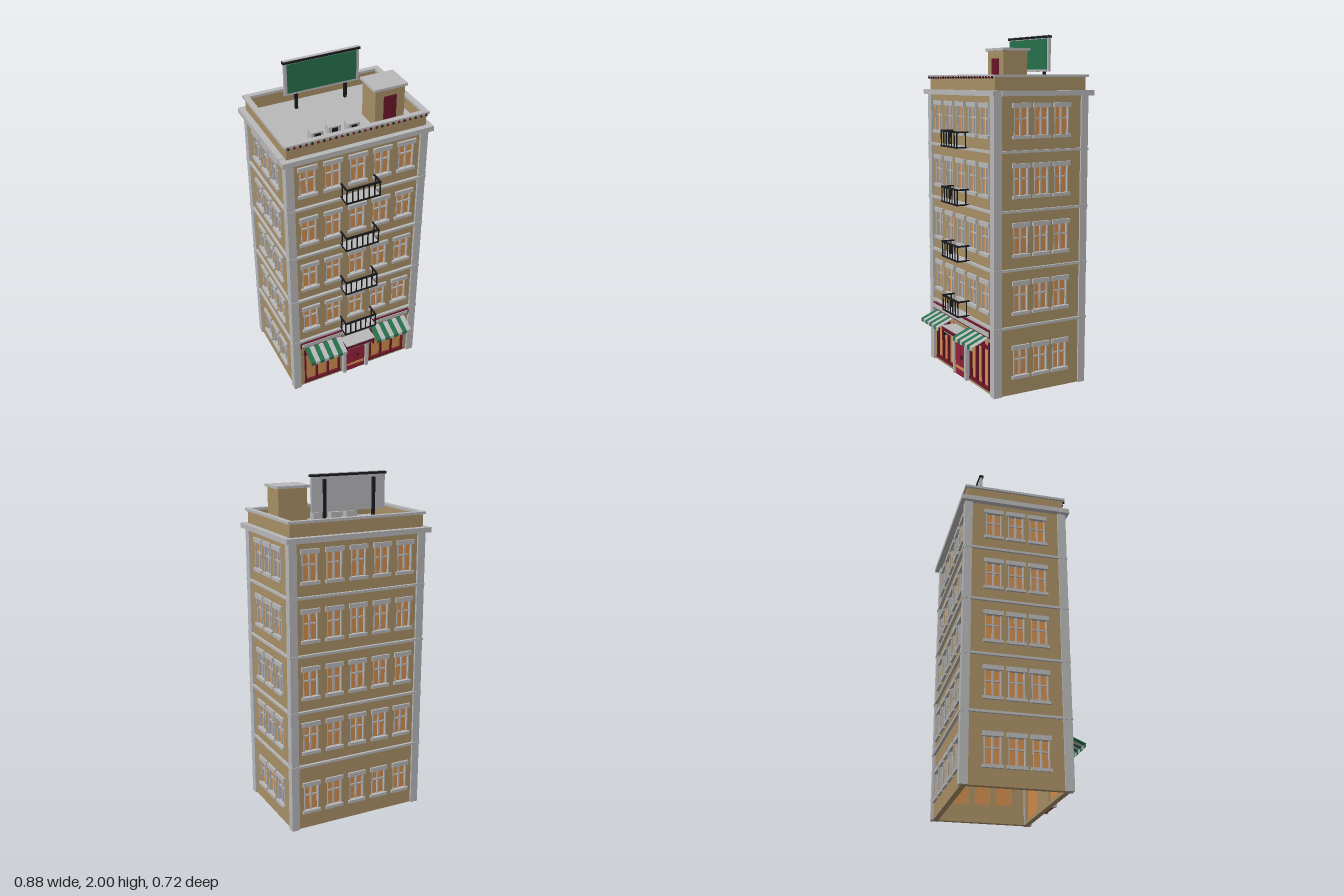
import * as THREE from 'three';

const mat = (name, hex) => {
  const m = new THREE.MeshStandardMaterial({ color: hex });
  m.name = name;
  return m;
};

export function createModel() {
  const tan = mat('tan plaster', 0xa89066);
  const grey = mat('grey stone', 0xb8b8ba);
  const orange = mat('amber glass', 0xcf8c4e);
  const black = mat('black iron', 0x1a1b1f);
  const green = mat('green', 0x25704a);
  const red = mat('crimson', 0x96203a);
  const maroon = mat('maroon', 0x6a1628);

  const model = new THREE.Group();
  model.name = 'apartmentBuilding';
  const ZC = -0.0375; // centre of the building body in z

  const group = (name, parent = model) => {
    const g = new THREE.Group();
    g.name = name;
    parent.add(g);
    return g;
  };
  // box given by its minimum and maximum corners
  const box = (parent, name, m, x0, x1, y0, y1, z0, z1) => {
    const mesh = new THREE.Mesh(new THREE.BoxGeometry(x1 - x0, y1 - y0, z1 - z0), m);
    mesh.position.set((x0 + x1) / 2, (y0 + y1) / 2, (z0 + z1) / 2);
    mesh.name = name;
    parent.add(mesh);
    return mesh;
  };
  const rect = (P, x0, x1, y0, y1) => {
    const p = new P();
    p.moveTo(x0, y0).lineTo(x1, y0).lineTo(x1, y1).lineTo(x0, y1).closePath();
    return p;
  };
  // rectangular ring around the building: outer half sizes and width
  const ring = (name, m, hx, hz, t, y0, y1) => {
    const s = rect(THREE.Shape, -hx, hx, -hz, hz);
    s.holes.push(rect(THREE.Path, -hx + t, hx - t, -hz + t, hz - t));
    const g = new THREE.ExtrudeGeometry(s, { depth: y1 - y0, bevelEnabled: false });
    g.rotateX(-Math.PI / 2);
    const mesh = new THREE.Mesh(g, m);
    mesh.position.set(0, y0, ZC);
    mesh.name = name;
    model.add(mesh);
  };

  // a sash window in the wall plane z = 0
  const W = 0.046, H = 0.153;
  const addWindow = (parent, x, y) => {
    const w = group('window', parent);
    w.position.set(x, y, 0);
    box(w, 'glass', orange, -W, W, 0, H, -0.02, -0.012);
    box(w, 'mullion', grey, -0.005, 0.005, 0, H, -0.012, -0.003);
    box(w, 'transom', grey, -W, W, 0.088, 0.096, -0.012, -0.004);
    for (const s of [-1, 1]) {
      const e = s * (W - 0.003);
      box(w, 'jamb', grey, e - 0.003, e + 0.003, 0, H, -0.012, 0.003);
    }
    box(w, 'lintel', grey, -0.056, 0.056, H - 0.002, H + 0.024, -0.01, 0.012);
    box(w, 'sill', grey, -0.056, 0.056, -0.016, 0.002, -0.01, 0.014);
  };

  // one wall with openings, outer face on z = 0
  const addWall = (name, halfW, xs, hasShop) => {
    const wall = group(name);
    const s = rect(THREE.Shape, -halfW, halfW, 0, 1.67);
    for (let k = hasShop ? 1 : 0; k < 5; k++) {
      const y = k ? 0.475 + 0.325 * (k - 1) : 0.108;
      for (const x of xs) {
        s.holes.push(rect(THREE.Path, x - W, x + W, y, y + H));
        addWindow(wall, x, y);
      }
    }
    if (hasShop) for (const c of [-0.225, 0.225]) s.holes.push(rect(THREE.Path, c - 0.12, c + 0.12, 0.02, 0.3));
    const mesh = new THREE.Mesh(new THREE.ExtrudeGeometry(s, { depth: 0.03, bevelEnabled: false }), tan);
    mesh.position.z = -0.03;
    mesh.name = 'wallPanel';
    wall.add(mesh);
    return wall;
  };
  const five = [-2, -1, 0, 1, 2].map(i => i * 0.147);
  const three = [-0.129, 0, 0.129];
  const front = addWall('frontWall', 0.41, five, true);
  front.position.z = 0.25;
  const back = addWall('backWall', 0.41, five, false);
  back.position.z = -0.325;
  back.rotation.y = Math.PI;
  for (const s of [-1, 1]) {
    const side = addWall(s > 0 ? 'leftWall' : 'rightWall', 0.2575, three, false);
    side.position.set(s * 0.41, 0, ZC);
    side.rotation.y = s * Math.PI / 2;
  }

  // corner pillars
  for (const s of [-1, 1]) {
    const a = s * 0.397;
    box(model, 'cornerPillar', grey, a - 0.023, a + 0.023, 0, 1.67, 0.215, 0.264);
    box(model, 'cornerPillar', grey, a - 0.023, a + 0.023, 0, 1.67, -0.338, -0.293);
  }

  // floor bands, cornice, parapet and roof
  for (let k = 0; k < 4; k++) ring('floorBand', grey, 0.423, 0.304, 0.03, 0.383 + k * 0.325, 0.397 + k * 0.325);
  box(model, 'cornice', grey, -0.442, 0.442, 1.663, 1.692, 0.23, 0.282);
  box(model, 'cornice', grey, -0.442, 0.442, 1.663, 1.692, -0.362, -0.31);
  for (const s of [-1, 1]) {
    box(model, 'cornice', grey, s * 0.415 - 0.027, s * 0.415 + 0.027, 1.663, 1.692, -0.31, 0.226);
  }
  ring('parapet', tan, 0.408, 0.288, 0.016, 1.67, 1.764);
  ring('parapetCap', grey, 0.42, 0.3, 0.031, 1.763, 1.777);
  box(model, 'roof', grey, -0.4, 0.4, 1.665, 1.694, -0.32, 0.245);

  // string of bulbs under the parapet cap
  const bulb = new THREE.SphereGeometry(0.0075, 8, 6);
  for (let i = 0; i < 25; i++) {
    const b = new THREE.Mesh(bulb, i % 2 ? maroon : black);
    b.position.set(-0.4 + i / 30, 1.762, 0.263);
    b.name = 'bulb';
    model.add(b);
  }

  // balconies
  for (let k = 0; k < 4; k++) {
    const b = group('balcony');
    b.position.set(0, 0.397 + k * 0.325, 0);
    box(b, 'balconyFloor', grey, -0.1, 0.1, -0.002, 0.006, 0.25, 0.325);
    box(b, 'bottomRail', black, -0.104, 0.104, -0.004, 0.005, 0.323, 0.33);
    box(b, 'topRail', black, -0.104, 0.104, 0.082, 0.092, 0.322, 0.331);
    for (let i = 0; i < 7; i++) {
      const x = -0.1 + i / 30;
      box(b, 'baluster', black, x - 0.003, x + 0.003, 0, 0.085, 0.323, 0.329);
    }
    for (const s of [-1, 1]) {
      const x = s * 0.1;
      box(b, 'sideRail', black, x - 0.004, x + 0.004, 0.082, 0.091, 0.25, 0.326);
      box(b, 'sideRail', black, x - 0.004, x + 0.004, -0.004, 0.004, 0.25, 0.326);
      box(b, 'wallPost', black, x - 0.003, x + 0.003, 0, 0.085, 0.268, 0.274);
    }
  }

  // shop windows and striped awnings
  for (const c of [-0.225, 0.225]) {
    const shop = group('shopWindow');
    shop.position.x = c;
    box(shop, 'glass', orange, -0.12, 0.12, 0.02, 0.3, 0.232, 0.24);
    for (const x of [-0.115, -0.038, 0.038, 0.115]) {
      box(shop, 'framePost', maroon, x - 0.005, x + 0.005, 0.02, 0.3, 0.238, 0.256);
    }
    for (const y of [0.026, 0.265]) box(shop, 'frameRail', maroon, -0.124, 0.124, y - 0.007, y + 0.007, 0.238, 0.258);

    const awning = group('awning');
    awning.position.x = c < 0 ? -0.345 : 0.1;
    // cross-section of sloped cloth with a short valance
    const p = new THREE.Shape([[0.25, 0.332], [0.36, 0.287], [0.36, 0.266], [0.356, 0.266], [0.356, 0.283], [0.25, 0.327]]
      .map(([z, y]) => new THREE.Vector2(-z, y)));
    const strip = new THREE.ExtrudeGeometry(p, { depth: 0.03, bevelEnabled: false });
    strip.rotateY(Math.PI / 2);
    for (let i = 0; i < 8; i++) {
      const m = new THREE.Mesh(strip, i % 2 ? grey : green);
      m.position.x = i * 0.03;
      m.name = 'awningStripe';
      awning.add(m);
    }
  }

  // sign board with a maroon border
  box(model, 'signBorder', maroon, -0.37, 0.37, 0.332, 0.372, 0.25, 0.266);
  box(model, 'signBoard', grey, -0.363, 0.363, 0.339, 0.366, 0.264, 0.27);

  // entrance
  const door = group('entrance');
  box(door, 'doorLeaf', red, -0.066, 0, 0, 0.258, 0.24, 0.262);
  box(door, 'doorLeaf', red, 0.002, 0.066, 0, 0.258, 0.24, 0.26);
  box(door, 'doorGap', maroon, 0, 0.002, 0, 0.258, 0.24, 0.261);
  for (const y of [0.05, 0.213]) box(door, 'doorBand', orange, -0.058, 0.058, y - 0.008, y + 0.008, 0.258, 0.265);
  box(door, 'handle', black, 0.014, 0.02, 0.11, 0.13, 0.258, 0.268);
  for (const s of [-1, 1]) {
    const x = s * 0.077;
    box(door, 'doorColumn', grey, x - 0.01, x + 0.01, 0, 0.262, 0.245, 0.272);
    box(door, 'canopyBracket', black, s * 0.092 - 0.004, s * 0.092 + 0.004, 0.24, 0.29, 0.25, 0.328);
  }
  box(door, 'canopy', maroon, -0.096, 0.096, 0.27, 0.294, 0.25, 0.334);
  box(door, 'canopyTop', grey, -0.096, 0.096, 0.294, 0.3, 0.25, 0.336);
  box(door, 'canopyTrim', grey, -0.085, 0.085, 0.262, 0.272, 0.25, 0.33);

  // stair hut on the roof
  const hut = group('stairHut');
  box(hut, 'hutWalls', tan, 0.148, 0.324, 1.69, 1.906, 0.004, 0.153);
  box(hut, 'hutRoof', grey, 0.136, 0.336, 1.905, 1.919, -0.008, 0.163);
  box(hut, 'hutDoorFrame', maroon, 0.198, 0.274, 1.69, 1.864, 0.15, 0.157);
  box(hut, 'hutDoor', maroon, 0.205, 0.267, 1.69, 1.857, 0.155, 0.16);

  // cooling units
  for (const [x, z] of [[-0.185, 0.122], [-0.079, 0.108], [0.028, 0.122]]) {
    const u = group('coolingUnit');
    u.position.set(x, 1.694, z);
    box(u, 'unitBody', grey, -0.035, 0.035, 0, 0.05, -0.025, 0.025);
    box(u, 'unitGrille', black, -0.017, 0.017, 0.01, 0.042, 0.024, 0.028);
  }

  // billboard
  const sign = group('billboard');
  box(sign, 'panel', grey, -0.225, 0.225, 1.795, 1.988, -0.21, -0.195);
  box(sign, 'poster', green, -0.208, 0.208, 1.808, 1.98, -0.197, -0.192);
  box(sign, 'topBar', black, -0.231, 0.231, 1.984, 1.997, -0.215, -0.19);
  box(sign, 'topPlate', grey, -0.228, 0.228, 1.996, 2, -0.212, -0.193);
  for (const x of [-0.15, 0.15]) box(sign, 'post', black, x - 0.008, x + 0.008, 1.69, 1.97, -0.223, -0.208);

  return model;
}
